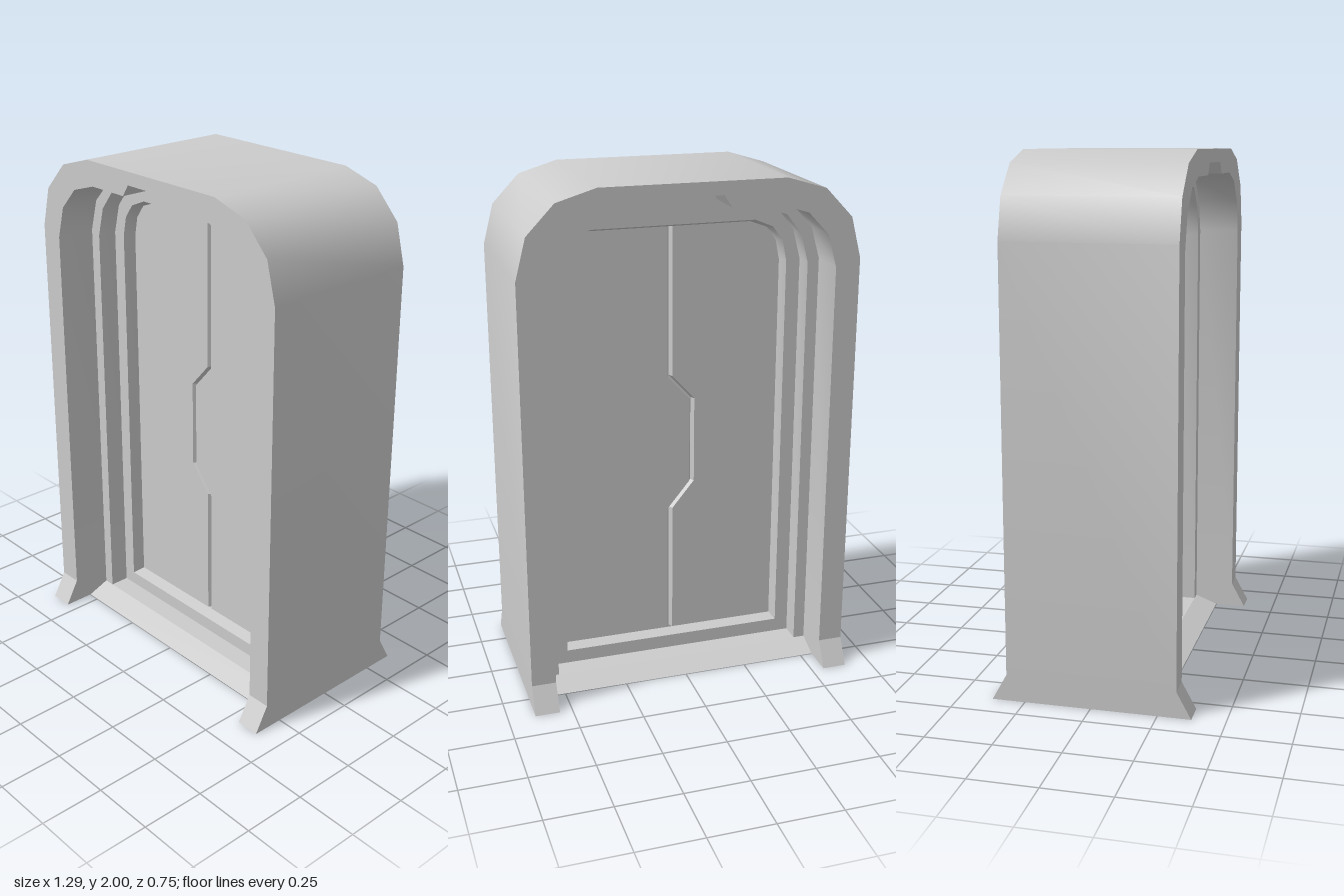
import * as THREE from 'three';
import { toCreasedNormals } from 'three/addons/utils/BufferGeometryUtils.js';

const material = new THREE.MeshStandardMaterial({ color: 0xcccccc, side: THREE.DoubleSide });

// Depths of the stepped surround, measured from the middle plane
const FRONT = 0.32, STEP = 0.16, SILL = 0.08, DOOR = 0.03, GROOVE = 0.01;
const FLOOR = 0.035, FOOT = 0.1, FLARE = 0.055;

// Right halves of the arches, from the bottom up
const OUTER = [[0.645, FOOT], [0.645, 1.69], [0.605, 1.845], [0.5, 1.955], [0.35, 2]];
const JAMB = [[0.55, FOOT], [0.55, 1.66], [0.515, 1.785], [0.435, 1.87], [0.32, 1.905], [0.14, 1.905], [0.11, 1.95]];
const INNER = [[0.505, FLOOR], [0.505, 1.645], [0.475, 1.76], [0.415, 1.835], [0.32, 1.865]];
const OPENING = [[0.45, 0.09], [0.45, 1.64], [0.433, 1.72], [0.392, 1.775], [0.32, 1.805]];
const PANEL = [[0.44, 0.1], [0.44, 1.635], [0.424, 1.712], [0.385, 1.765], [0.318, 1.79]];
const SEAM = [[0, 0.1], [0, 0.64], [-0.09, 0.75], [-0.09, 1.1], [0, 1.2], [0, 1.79]];

const flip = (pts) => pts.map(([x, y]) => [-x, y]);
const arch = (half) => [...flip(half), ...[...half].reverse()];
const withBottom = (half, y) => [[half[0][0], y], ...half];
const shift = (pts, d) => pts.map(([x, y]) => [x + d, y]);

function add(group, name, geometry) {
  const mesh = new THREE.Mesh(geometry, material);
  mesh.name = name;
  group.add(mesh);
}

// Surface between two matching profiles at two depths; the feet flare outwards
function loft(a, za, b, zb) {
  const pos = [], index = [], n = a.length;
  for (const [pts, z] of [[a, za], [b, zb]]) {
    for (const [x, y] of pts) {
      const flare = Math.abs(z) === FRONT ? Math.max(0, 1 - y / FOOT) * FLARE : 0;
      pos.push(x, y, z + Math.sign(z) * flare);
    }
  }
  for (let i = 0; i < n - 1; i++) index.push(i, n + i, i + 1, n + i, n + i + 1, i + 1);
  const g = new THREE.BufferGeometry();
  g.setAttribute('position', new THREE.Float32BufferAttribute(pos, 3));
  g.setIndex(index);
  return toCreasedNormals(g, 0.56);
}

// Flat face with an optional hole
function face(pts, z, hole) {
  const vec = (list) => list.map(([x, y]) => new THREE.Vector2(x, y));
  const shape = new THREE.Shape(vec(pts));
  if (hole) shape.holes.push(new THREE.Path(vec(hole)));
  return new THREE.ShapeGeometry(shape).translate(0, 0, z);
}

const band = (outer, inner) => [...outer, ...[...inner].reverse()];

// One face of the doorway; seamSide mirrors the door seam for the back
function createSide(seamSide) {
  const side = new THREE.Group();

  // Front frame and its flared feet
  add(side, 'frameFace', face(band(arch(OUTER), arch(JAMB)), FRONT));
  for (const [x0, x1] of [[-0.645, -0.55], [0.55, 0.645]]) {
    add(side, 'flaredFoot', loft([[x0, 0], [x0, FOOT]], FRONT, [[x1, 0], [x1, FOOT]], FRONT));
  }

  // Stepped jambs
  const jamb = arch(withBottom(JAMB, 0));
  add(side, 'outerJamb', loft(jamb, FRONT, jamb, STEP));
  const jambStep = [[0.55, FLOOR], ...JAMB.slice(1)];
  add(side, 'jambStep', face(band(arch(jambStep), arch(INNER)), STEP));
  add(side, 'innerJamb', loft(arch(INNER), STEP, arch(INNER), SILL));
  add(side, 'doorSurround', face(arch(INNER), SILL, arch(OPENING)));

  // Bevelled edge around the door leaves
  const closed = (half) => [...arch(half), [-half[0][0], half[0][1]]];
  add(side, 'doorBevel', loft(closed(OPENING), SILL, closed(PANEL), DOOR));

  // Two door leaves with a V groove along the seam
  const seam = SEAM.map(([x, y]) => [x * seamSide, y]);
  const left = shift(seam, -0.01), right = shift(seam, 0.01);
  add(side, 'doorLeaf', face(band(flip(PANEL), left), DOOR));
  add(side, 'doorLeaf', face(band(PANEL, right), DOOR));
  add(side, 'seamGroove', loft(left, DOOR, seam, GROOVE));
  add(side, 'seamGroove', loft(seam, GROOVE, right, DOOR));
  return side;
}

export function createModel() {
  const model = new THREE.Group();
  model.name = 'slidingDoorway';

  // Outer shell, open underneath
  const shell = arch(withBottom(OUTER, 0));
  add(model, 'outerShell', loft(shell, -FRONT, shell, FRONT));

  const front = createSide(1);
  front.name = 'frontSide';
  const back = createSide(-1);
  back.name = 'backSide';
  back.rotation.y = Math.PI;
  model.add(front, back);

  // Threshold sheet with a short ramp on each side
  const tread = [[0.25, 0], [STEP, FLOOR], [-STEP, FLOOR], [-0.25, 0]];
  for (let i = 0; i < 3; i++) {
    const [[z0, y0], [z1, y1]] = [tread[i], tread[i + 1]];
    const length = Math.hypot(z1 - z0, y1 - y0);
    const plate = new THREE.PlaneGeometry(1.1, length);
    plate.rotateX(-Math.PI / 2 + Math.atan2(y1 - y0, z0 - z1));
    plate.translate(0, (y0 + y1) / 2, (z0 + z1) / 2);
    add(model, i === 1 ? 'threshold' : 'thresholdRamp', plate);
  }
  return model;
}
